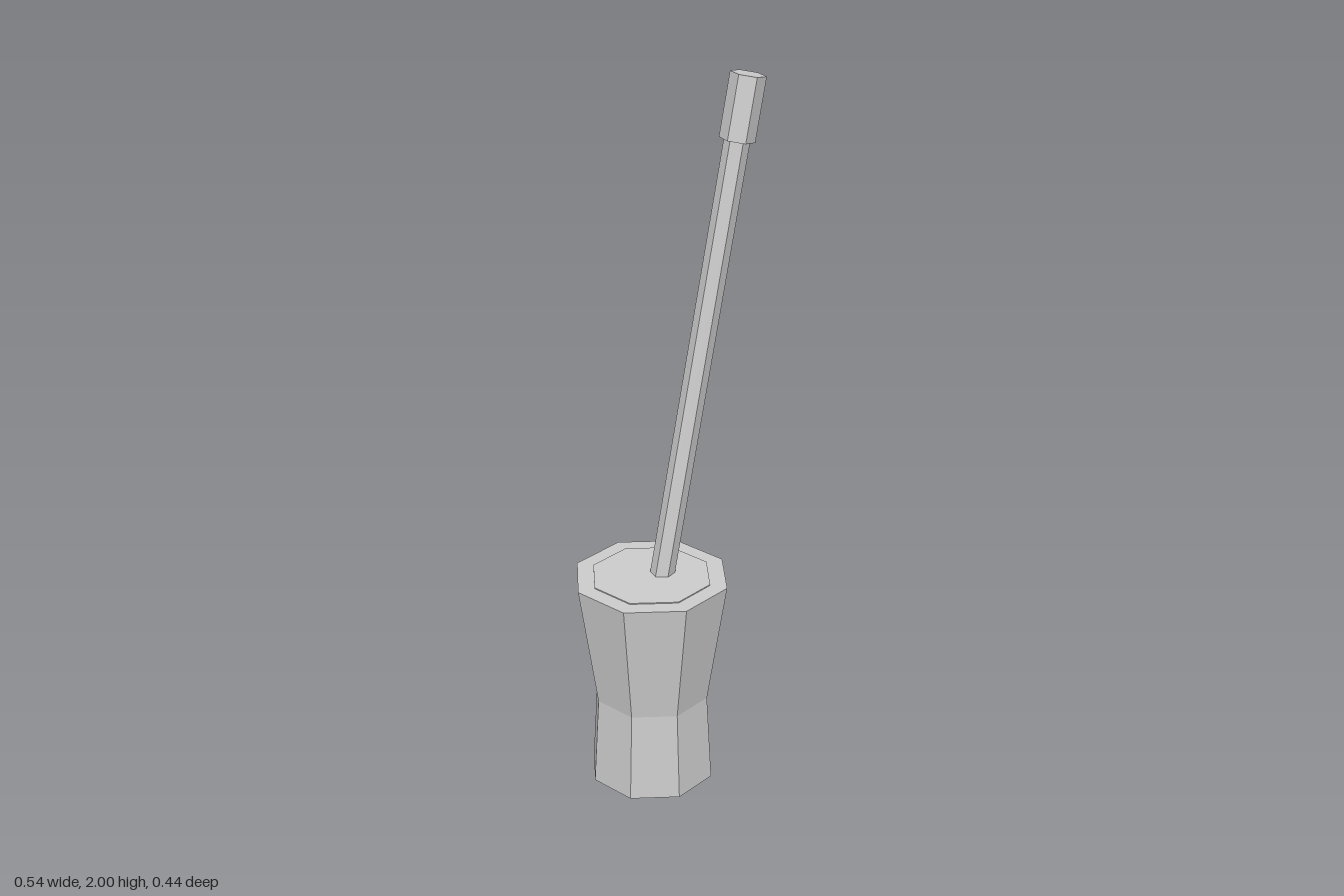
import * as THREE from 'three';

const material = new THREE.MeshStandardMaterial({
  color: 0xcccccc, flatShading: true, side: THREE.DoubleSide,
});

function addMesh(parent, name, geometry, x = 0, y = 0) {
  const mesh = new THREE.Mesh(geometry, material);
  mesh.name = name;
  mesh.position.set(x, y, 0);
  parent.add(mesh);
  return mesh;
}

export function createModel() {
  const model = new THREE.Group();
  model.name = 'churn';

  // Eight-sided waisted tub, open underneath, closed on top
  const profile = [[0.18, 0], [0.165, 0.26], [0.22, 0.622], [0, 0.622]]
    .map(([r, y]) => new THREE.Vector2(r, y));
  addMesh(model, 'tub', new THREE.LatheGeometry(profile, 8), -0.05);

  // Thin lid lying on the rim
  addMesh(model, 'lid', new THREE.CylinderGeometry(0.171, 0.171, 0.004, 8), -0.05, 0.623);

  // Leaning six-sided staff with a thicker grip, built down from its top end
  const plunger = new THREE.Group();
  plunger.name = 'plunger';
  plunger.position.set(0.226, 1.993, 0);
  plunger.rotation.z = -THREE.MathUtils.degToRad(10);
  model.add(plunger);

  const gripLength = 0.17, staffLength = 1.25;
  addMesh(plunger, 'grip', new THREE.CylinderGeometry(0.047, 0.047, gripLength, 6), 0, -gripLength / 2);
  addMesh(plunger, 'staff', new THREE.CylinderGeometry(0.034, 0.034, staffLength, 6),
    0, -gripLength - staffLength / 2 + 0.01);

  return model;
}
